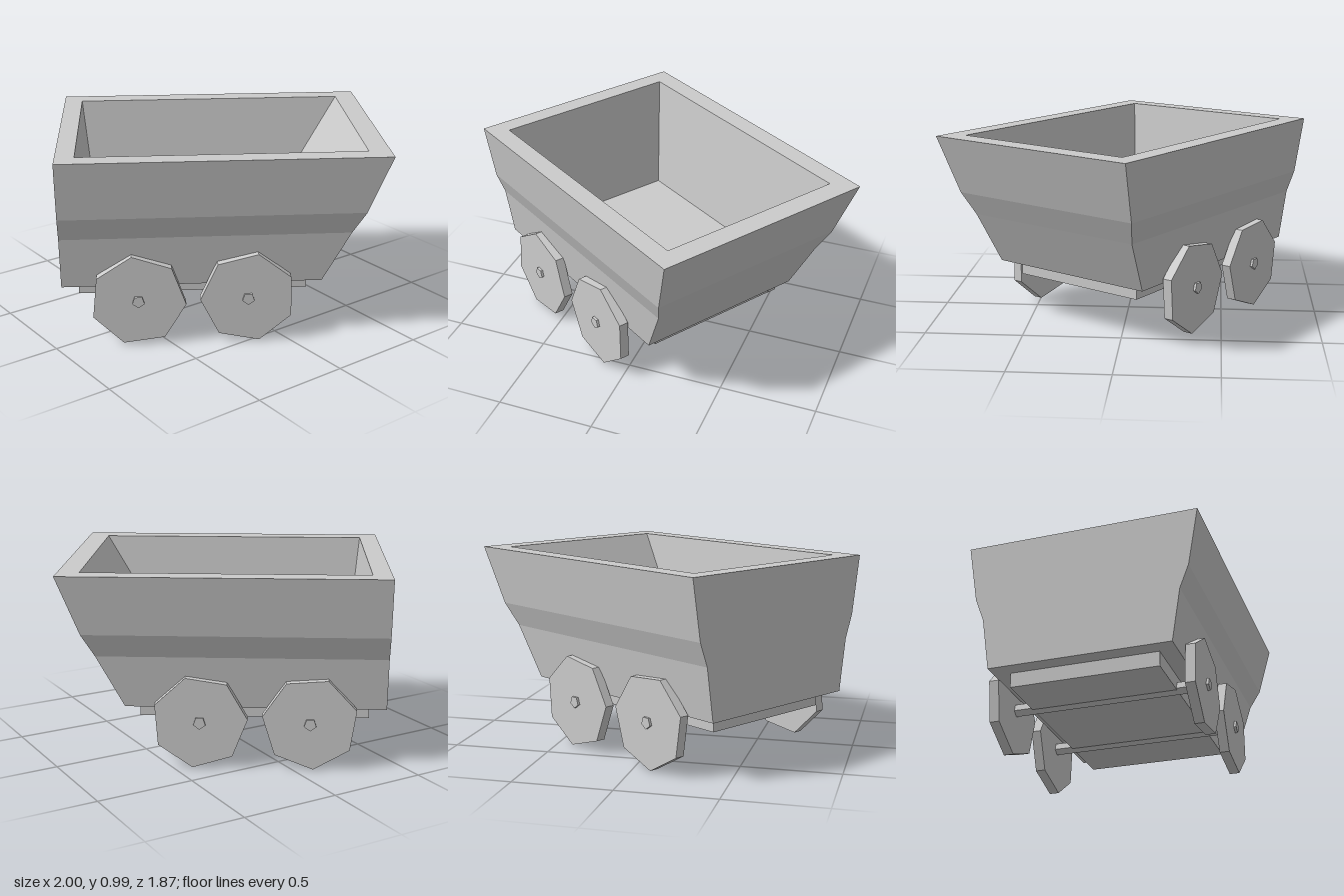
import * as THREE from 'three';

const material = new THREE.MeshStandardMaterial({ color: 0xcccccc, flatShading: true });

function addMesh(parent, name, geometry, x = 0, y = 0, z = 0) {
  const mesh = new THREE.Mesh(geometry, material);
  mesh.name = name;
  mesh.position.set(x, y, z);
  parent.add(mesh);
  return mesh;
}

// Skin a stack of rectangles [y, back x, front x, half width], closed at both ends
function rectangleLoft(sections) {
  const loops = sections.map(([y, l, r, w]) => [[l, y, -w], [r, y, -w], [r, y, w], [l, y, w]]);
  const points = [];
  const quad = (a, b, c, d) => points.push(...a, ...b, ...c, ...a, ...c, ...d);
  for (let s = 0; s < loops.length - 1; s++) {
    const low = loops[s], high = loops[s + 1];
    for (let i = 0; i < 4; i++) {
      const j = (i + 1) % 4;
      quad(low[i], high[i], high[j], low[j]);
    }
  }
  const first = loops[0], last = loops[loops.length - 1];
  quad(...first);
  quad(last[3], last[2], last[1], last[0]);
  const geometry = new THREE.BufferGeometry();
  geometry.setAttribute('position', new THREE.Float32BufferAttribute(points, 3));
  geometry.computeVertexNormals();
  return geometry;
}

// Low-poly disc or bar whose axis runs across the cart
function crossCylinder(radius, length, sides) {
  return new THREE.CylinderGeometry(radius, radius, length, sides).rotateX(Math.PI / 2);
}

export function createModel() {
  const cart = new THREE.Group();
  cart.name = 'mineCart';

  // Tub: outside from bottom to rim, then down the inside to the floor
  addMesh(cart, 'tub', rectangleLoft([
    [0.30, -0.807, 0.50, 0.46],
    [0.57, -0.807, 0.637, 0.50],
    [0.69, -0.807, 0.70, 0.545],
    [0.99, -0.807, 0.81, 0.594],
    [0.99, -0.712, 0.702, 0.494],
    [0.38, -0.652, 0.34, 0.44],
  ]));

  // Chassis plate under the tub
  addMesh(cart, 'chassis', new THREE.BoxGeometry(1.16, 0.09, 0.75), -0.146, 0.27, 0);

  // Two axles, each with a seven-sided wheel per side, turned by its own angle
  const axles = [
    { x: 0.123, left: 78, right: 73 },
    { x: -0.426, left: 97, right: 60 },
  ];
  for (const { x, left, right } of axles) {
    addMesh(cart, 'axle', crossCylinder(0.032, 1.07, 5), x, 0.24, 0);
    for (const [side, angle] of [[1, left], [-1, right]]) {
      const wheel = addMesh(cart, 'wheel', crossCylinder(0.24, 0.05, 7), x, 0.24, side * 0.497);
      wheel.rotation.z = THREE.MathUtils.degToRad(angle + 90);
    }
  }

  // The cart stands turned on the ground
  cart.rotation.y = -0.5715;
  const model = new THREE.Group();
  model.name = 'model';
  model.add(cart);
  return model;
}
